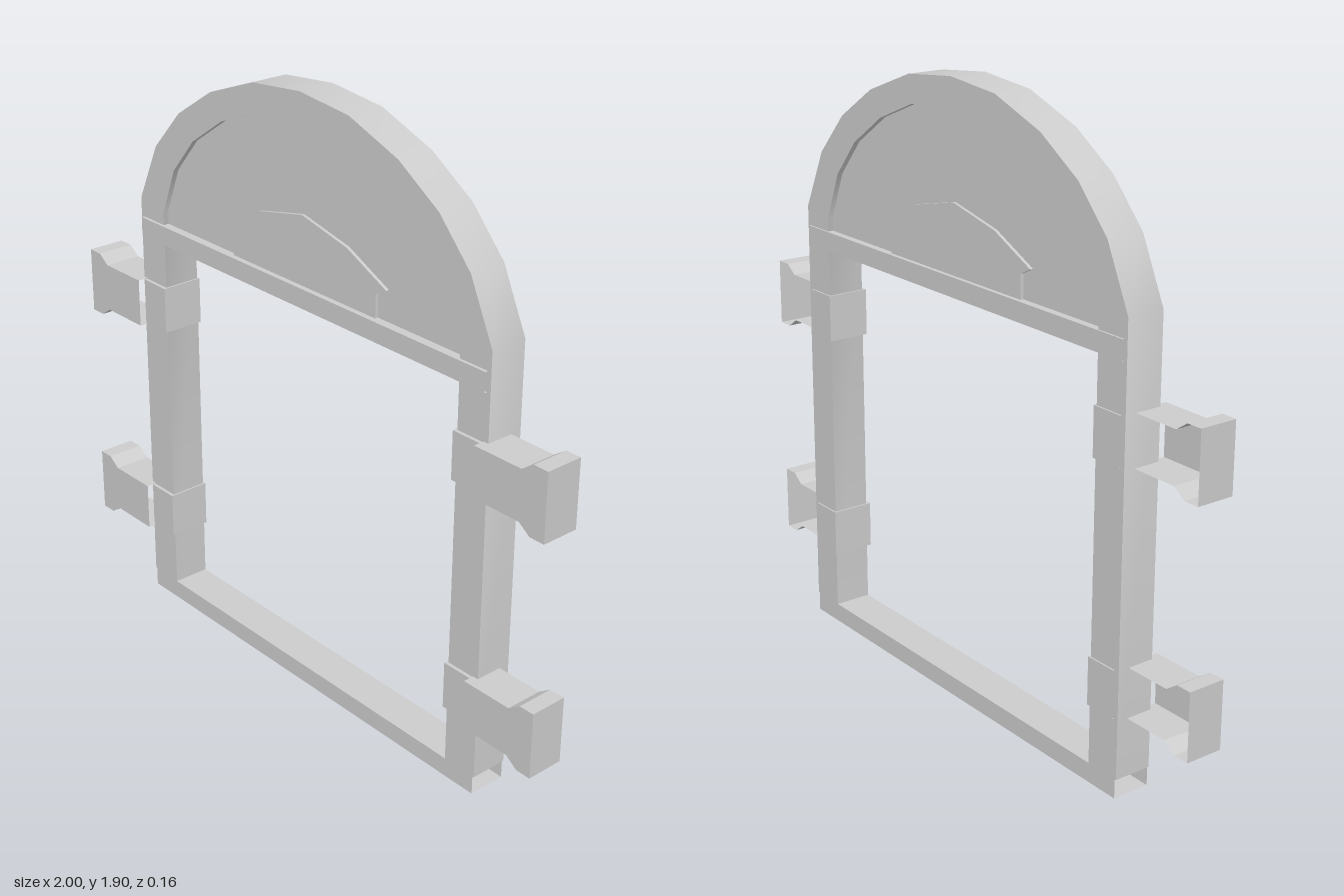
import * as THREE from 'three';
import { toCreasedNormals } from 'three/addons/utils/BufferGeometryUtils.js';

const material = new THREE.MeshStandardMaterial({ color: 0xcccccc, side: THREE.DoubleSide });
const MID_Z = -0.015; // middle plane of the frame

// Right half of a symmetric outline -> full outline, running +x to -x
const mirrored = (half) => [
  ...half,
  ...half.filter(([x]) => x > 0).reverse().map(([x, y]) => [-x, y]),
];
const toShape = (pts) => new THREE.Shape(pts.map(([x, y]) => new THREE.Vector2(x, y)));

function addMesh(parent, name, geometry, x = 0, y = 0, z = 0) {
  const mesh = new THREE.Mesh(geometry, material);
  mesh.name = name;
  mesh.position.set(x, y, z);
  parent.add(mesh);
  return mesh;
}

// Slab of the given thickness, centred on the frame's middle plane
function slab(shape, depth) {
  const geo = new THREE.ExtrudeGeometry(shape, { depth, bevelEnabled: false });
  geo.translate(0, 0, MID_Z - depth / 2);
  return toCreasedNormals(geo, 0.6);
}

// Box whose two x ends are left open
function openBox(w, h, d) {
  const geo = new THREE.BoxGeometry(w, h, d);
  geo.setIndex(Array.from(geo.index.array).slice(12));
  return geo;
}

// Wall plate channel: front plate, rim and end cap, open at the back and inner end
function bracketGeometry(side) {
  const top = [[0.74, 0.077], [0.91, 0.077], [0.95, 0.105], [1, 0.105]];
  const outline = [...top, ...top.map(([x, y]) => [x, -y]).reverse()];
  const front = 0.08, back = -0.04;
  const positions = [];
  const quad = (a, b, c, d) => [a, b, c, a, c, d].forEach((p) => positions.push(...p));
  for (let i = 0; i < outline.length - 1; i++) {
    const [ax, ay] = outline[i], [bx, by] = outline[i + 1];
    quad([ax, ay, front], [bx, by, front], [bx, by, back], [ax, ay, back]);
  }
  for (let i = 0; i < top.length - 1; i++) {
    const [ax, ay] = top[i], [bx, by] = top[i + 1];
    quad([ax, ay, front], [ax, -ay, front], [bx, -by, front], [bx, by, front]);
  }
  if (side < 0) {
    // mirror in x and swap two corners to keep faces outward
    for (let i = 0; i < positions.length; i += 9) {
      for (let k = 0; k < 9; k += 3) positions[i + k] *= -1;
      for (let k = 3; k < 6; k++) {
        [positions[i + k], positions[i + k + 3]] = [positions[i + k + 3], positions[i + k]];
      }
    }
  }
  const geo = new THREE.BufferGeometry();
  geo.setAttribute('position', new THREE.Float32BufferAttribute(positions, 3));
  geo.computeVertexNormals();
  return geo;
}

export function createModel() {
  const model = new THREE.Group();
  model.name = 'archedFrame';

  const outerArch = [[0.757, 1.39], [0.67, 1.575], [0.55, 1.705], [0.395, 1.805], [0.2, 1.877], [0, 1.897]];
  const innerArch = [[0.643, 1.37], [0.583, 1.52], [0.485, 1.635], [0.345, 1.73], [0.19, 1.792], [0, 1.815]];

  // Posts and arch in one piece
  const outer = mirrored([[0.76, 0.06], ...outerArch]);
  const inner = mirrored([[0.643, 0.06], ...innerArch]).reverse();
  addMesh(model, 'postsAndArch', slab(toShape([...outer, ...inner]), 0.12));

  // Recessed panel filling the arch, with a low relief on both faces
  addMesh(model, 'archPanel', slab(toShape(mirrored([[0.643, 1.3], ...innerArch])), 0.085));
  const relief = [[0.308, 1.3], [0.308, 1.403], [0.35, 1.424], [0.19, 1.5], [0, 1.542]];
  addMesh(model, 'panelRelief', slab(toShape(mirrored(relief)), 0.105));

  // Cross rails
  addMesh(model, 'lintel', openBox(1.49, 0.06, 0.136), 0, 1.3, -0.013);
  addMesh(model, 'bottomRail', openBox(1.51, 0.06, 0.12), 0, 0.03, MID_Z);

  // Two clasps with wall brackets on each post
  for (const side of [-1, 1]) {
    for (const [level, y] of [['lower', 0.317], ['upper', 1.049]]) {
      const hinge = new THREE.Group();
      hinge.name = `${level}${side > 0 ? 'Left' : 'Right'}Hinge`;
      hinge.position.y = y;
      addMesh(hinge, 'clasp', openBox(0.105, 0.148, 0.136), side * 0.69, 0, -0.012);
      addMesh(hinge, 'claspInnerFace', new THREE.PlaneGeometry(0.136, 0.148), side * 0.637, 0, -0.012)
        .rotation.y = -side * Math.PI / 2;
      addMesh(hinge, 'wallBracket', bracketGeometry(side));
      model.add(hinge);
    }
  }
  return model;
}
